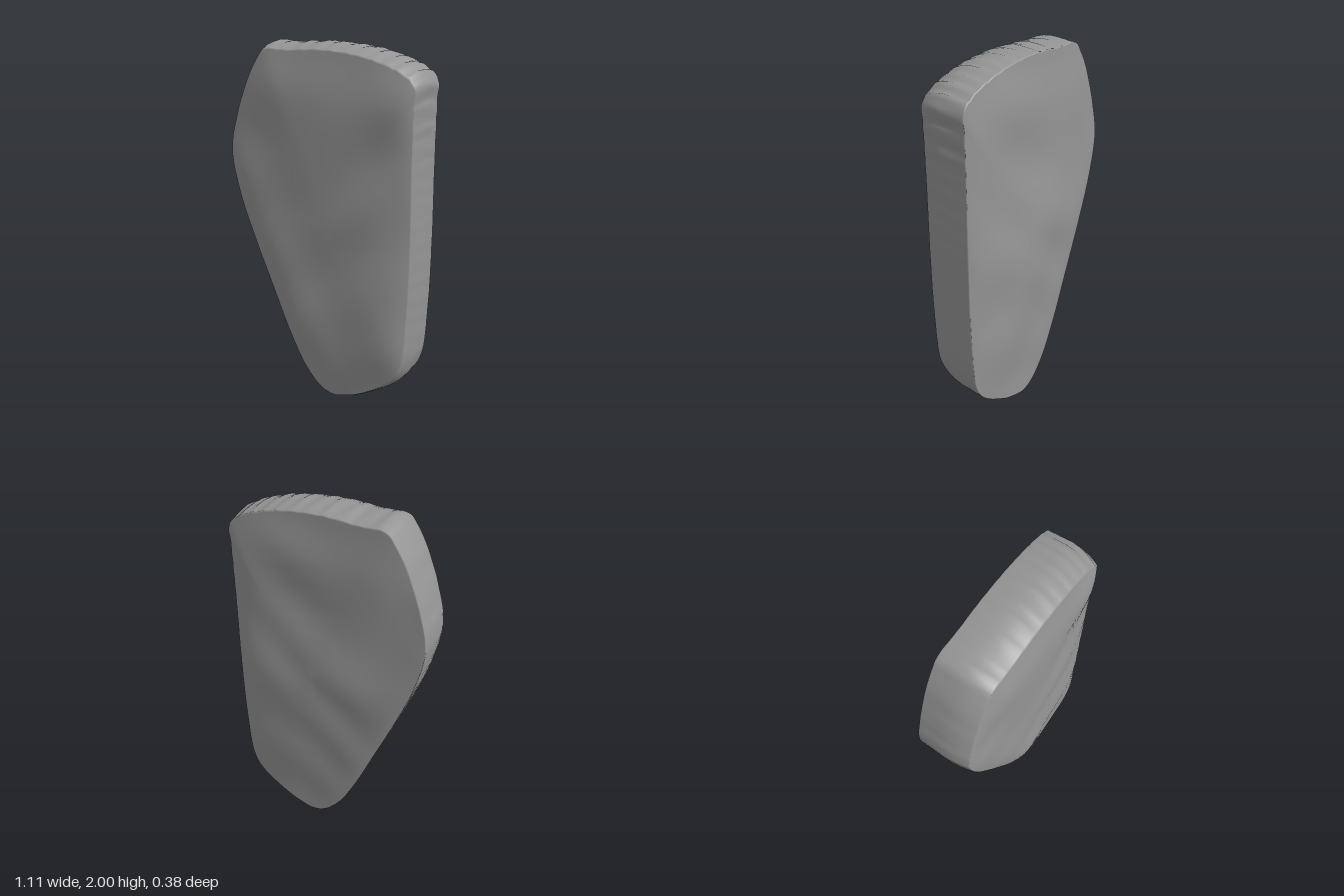
import * as THREE from 'three';
import { mergeVertices } from 'three/addons/utils/BufferGeometryUtils.js';

// Slab outline, counter-clockwise seen from the front
const OUTLINE = [
  [0.1, 0], [0.2, 0.02], [0.31, 0.07], [0.46, 0.18], [0.515, 0.28], [0.543, 0.6], [0.549, 1.0],
  [0.545, 1.4], [0.545, 1.72], [0.545, 1.83], [0.48, 1.89], [0.36, 1.94], [0.2, 1.978], [0, 1.995],
  [-0.18, 1.987], [-0.325, 1.985], [-0.37, 1.935], [-0.43, 1.83], [-0.51, 1.62], [-0.552, 1.42],
  [-0.51, 1.18], [-0.42, 0.92], [-0.3, 0.62], [-0.18, 0.33], [-0.08, 0.14], [0.02, 0.03],
];
const SEGMENTS = 260;
const CENTRE = new THREE.Vector2(0.08, 1.05);
const EDGE = 0.14;

// Smooth lookup in a list of [key, value] pairs
function lookup(table, k) {
  for (let i = 1; i < table.length; i++) {
    const [a, va] = table[i - 1], [b, vb] = table[i];
    if (k <= b) return va + (vb - va) * THREE.MathUtils.smoothstep(k, a, b);
  }
  return table[table.length - 1][1];
}

// How far each broad face swells beyond its rim, by height
const FRONT_SWELL = [[0, 0.02], [0.4, 0.054], [1, 0.036], [1.45, 0.03], [1.75, 0.044], [2, 0.02]];
const BACK_SWELL = [[0, 0.008], [0.6, 0.032], [1, 0.046], [1.5, 0.018], [1.75, 0.03], [2, 0.01]];

// Soft dents in the broad faces
const dents = (x, y, p) =>
  0.005 * Math.sin(10 * x + 5 * y + p) + 0.004 * Math.sin(13 * y - 8 * x + 2 * p)
  + 0.003 * Math.sin(15 * x - 4 * y + 3 * p) * Math.sin(11 * y + p) + 0.008 * x;

// Chisel grooves running across the rim, strongest at the top right corner
function groove(p, z) {
  const corner = Math.exp(-(((p.x - 0.54) / 0.2) ** 2) - ((p.y - 1.75) / 0.24) ** 2);
  const top = THREE.MathUtils.smoothstep(p.y, 1.8, 1.97);
  const t = p.x * 1.1 - p.y;
  const wave = Math.sin(62 * t + 5 * z) + 0.6 * Math.sin(101 * t - 7 * z + 1);
  return wave * (0.0014 + 0.006 * corner + 0.002 * top);
}

function slabGeometry() {
  const curve = new THREE.CatmullRomCurve3(
    OUTLINE.map(([x, y]) => new THREE.Vector3(x, y, 0)), true, 'centripetal');
  const base = curve.getSpacedPoints(SEGMENTS).slice(0, SEGMENTS);

  // Outline at depth z, tapered towards the front; grooves fade out inside the rim (s < 1)
  const rim = (p, z, s) => {
    const f = THREE.MathUtils.clamp(z / EDGE, -1, 1);
    const sx = f > 0 ? 1 - 0.045 * f ** 2 : 1 + 0.008 * f;
    const low = 0.014 * (f + 1) + 0.03 * Math.max(f, 0) ** 2;
    const high = 2 - (f > 0 ? 0.035 * f * f : 0.012 * f * f);
    const g = 1 + groove(p, z) * (1 - 0.6 * Math.abs(f)) * s ** 30;
    return new THREE.Vector2(
      CENTRE.x + (p.x * sx - CENTRE.x) * g,
      CENTRE.y + (low + p.y * (high - low) / 2 - CENTRE.y) * g);
  };

  // Rings from the middle of the back, round the rim, to the middle of the front
  const steps = [0, 0.1, 0.2, 0.3, 0.4, 0.5, 0.6, 0.7, 0.78, 0.85, 0.91, 0.95, 0.98, 0.993];
  const rings = [
    ...steps.map(s => ({ s, side: -1 })),
    ...[-1, -0.96, -0.85, -0.6, -0.3, 0, 0.3, 0.6, 0.85, 0.96, 1].map(f => ({ s: 1, z: f * EDGE })),
    ...steps.slice().reverse().map(s => ({ s, side: 1 })),
  ];
  const positions = [], indices = [];
  for (const { s, side, z } of rings) {
    for (const p of base) {
      const q = rim(p, z ?? side * EDGE, s).sub(CENTRE).multiplyScalar(s).add(CENTRE);
      let depth = z;
      if (side) {
        const dome = 1 - s ** 5;
        const swell = lookup(side > 0 ? FRONT_SWELL : BACK_SWELL, q.y);
        depth = side * (EDGE + dome * (swell + dents(q.x, q.y, side > 0 ? 0.5 : 2.4)));
      }
      positions.push(q.x, q.y, depth);
    }
  }
  // Quads between rings; the first and last ring are single points
  for (let r = 0; r < rings.length - 1; r++) {
    for (let i = 0; i < SEGMENTS; i++) {
      const j = (i + 1) % SEGMENTS, a = r * SEGMENTS, b = a + SEGMENTS;
      if (r > 0) indices.push(a + i, a + j, b + j);
      if (r < rings.length - 2) indices.push(a + i, b + j, b + i);
    }
  }
  const geometry = new THREE.BufferGeometry();
  geometry.setAttribute('position', new THREE.Float32BufferAttribute(positions, 3));
  geometry.setIndex(indices);
  const merged = mergeVertices(geometry, 1e-5);
  merged.computeVertexNormals();
  return merged;
}

export function createModel() {
  const group = new THREE.Group();
  group.name = 'standingStone';
  const slab = new THREE.Mesh(slabGeometry(), new THREE.MeshStandardMaterial({ color: 0x959595 }));
  slab.name = 'stoneSlab';
  group.add(slab);
  return group;
}
